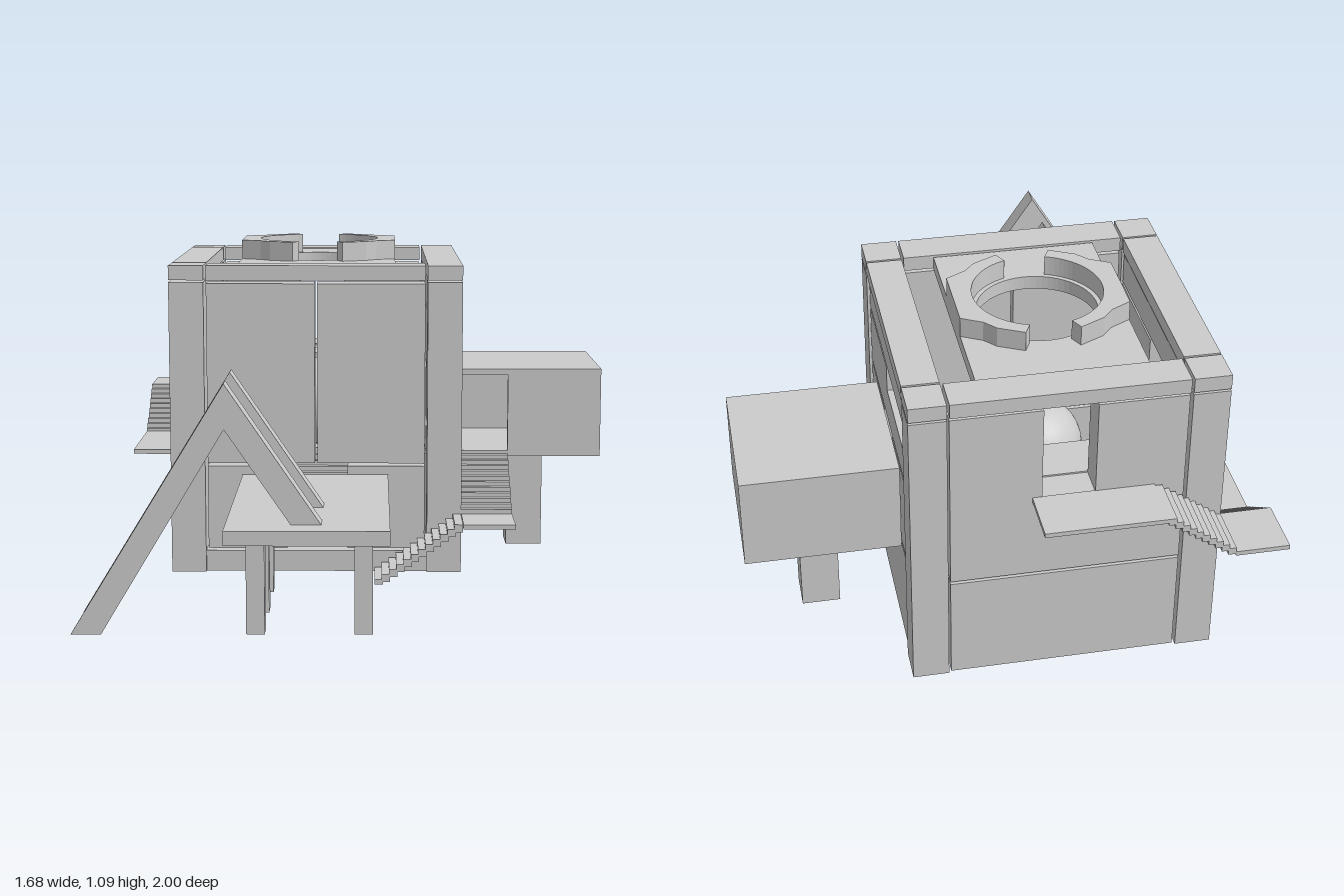
import * as THREE from 'three';

const CX = -0.135, CZ = -0.345; // centre of the house

export function createModel() {
  const root = new THREE.Group();
  const mat = new THREE.MeshStandardMaterial({ color: 0xcccccc, flatShading: true });
  const smooth = new THREE.MeshStandardMaterial({ color: 0xcccccc });

  function add(name, geo, parent = root, m = mat) {
    const mesh = new THREE.Mesh(geo, m);
    mesh.name = name;
    parent.add(mesh);
    return mesh;
  }
  // Box given by its limits on each axis
  function box(name, x0, x1, y0, y1, z0, z1, parent = root) {
    const mesh = add(name, new THREE.BoxGeometry(x1 - x0, y1 - y0, z1 - z0), parent);
    mesh.position.set((x0 + x1) / 2, (y0 + y1) / 2, (z0 + z1) / 2);
    return mesh;
  }
  function group(name) {
    const g = new THREE.Group();
    g.name = name;
    root.add(g);
    return g;
  }
  // Flight of thin steps along one axis from a to b, rising y0 to y1; c0..c1 is its width
  function flight(name, axis, a, b, y0, y1, c0, c1, n = 10) {
    const g = group(name), run = (b - a) / n, rise = (y1 - y0) / n;
    for (let i = 0; i < n; i++) {
      const p = a + run * i, q = p + run * 1.15;
      const lo = Math.min(p, q), hi = Math.max(p, q), top = y0 + rise * (i + 1);
      const bottom = Math.max(0, top - rise * 1.5);
      if (axis === 'x') box('step', lo, hi, bottom, top, c0, c1, g);
      else box('step', c0, c1, bottom, top, lo, hi, g);
    }
  }

  // Corner pillars and the roof's corner blocks
  for (const [x0, x1] of [[-0.62, -0.505], [0.235, 0.35]]) {
    for (const [z0, z1] of [[-0.83, -0.715], [0.025, 0.14]]) {
      box('cornerPillar', x0, x1, 0, 0.975, z0, z1);
      box('roofCorner', x0, x1, 0.982, 1.03, z0, z1);
    }
  }
  // Roof edge beams
  for (const [z0, z1] of [[-0.83, -0.715], [0.025, 0.14]]) box('roofBeam', -0.497, 0.227, 0.982, 1.03, z0, z1);
  for (const [x0, x1] of [[-0.62, -0.505], [0.235, 0.35]]) box('roofBeam', x0, x1, 0.982, 1.03, -0.707, 0.017);

  // Front wall: base, two lower panels beside the doorway, two tall upper panels
  const front = group('frontWall');
  const FZ = [0.03, 0.132];
  box('base', -0.505, 0.235, 0, 0.07, 0.03, 0.126, front);
  box('lowerPanel', -0.497, -0.233, 0.08, 0.36, ...FZ, front);
  box('lowerPanel', -0.03, 0.227, 0.08, 0.36, ...FZ, front);
  box('upperPanel', -0.497, -0.139, 0.37, 0.97, ...FZ, front);
  box('upperPanel', -0.131, 0.227, 0.37, 0.97, ...FZ, front);

  // Back wall with a tall doorway in its upper half
  const back = group('backWall');
  const BZ = [-0.822, -0.72];
  box('lowerPanel', -0.497, 0.227, 0, 0.355, ...BZ, back);
  box('middlePanel', -0.497, 0.227, 0.365, 0.65, ...BZ, back);
  box('upperPanel', -0.497, -0.22, 0.65, 0.97, ...BZ, back);
  box('upperPanel', -0.055, 0.227, 0.65, 0.97, ...BZ, back);

  // Side walls: lower panel, doorway, stepped band under a long window, lintel
  for (const [name, x0, x1] of [['rightWall', -0.612, -0.51], ['leftWall', 0.24, 0.342]]) {
    const g = group(name);
    box('lowerPanel', x0, x1, 0, 0.35, -0.707, 0.017, g);
    box('middlePanel', x0, x1, 0.36, 0.65, -0.707, -0.425, g);
    box('middlePanel', x0, x1, 0.36, 0.65, -0.26, 0.017, g);
    box('windowBand', x0, x1, 0.66, 0.77, -0.707, 0.017, g);
    box('windowStep', x0, x1, 0.77, 0.857, -0.34, 0.017, g);
    box('lintel', x0, x1, 0.867, 0.97, -0.707, 0.017, g);
  }

  // Roof slab with a round opening, leaving a light well on each side
  const slab = new THREE.Shape();
  slab.moveTo(-0.265, -0.365).lineTo(0.265, -0.365).lineTo(0.265, 0.365).lineTo(-0.265, 0.365).closePath();
  slab.holes.push(new THREE.Path().absarc(0, 0, 0.19, 0, Math.PI * 2, true));
  const slabGeo = new THREE.ExtrudeGeometry(slab, { depth: 0.045, bevelEnabled: false, curveSegments: 32 });
  slabGeo.rotateX(-Math.PI / 2);
  add('roofSlab', slabGeo).position.set(CX, 0.98, CZ);

  // Raised collar: two faceted halves round the opening
  const half = new THREE.Shape();
  half.moveTo(0.085, 0.235).lineTo(0.165, 0.195).lineTo(0.2, 0.155).lineTo(0.265, 0.12)
    .lineTo(0.265, -0.12).lineTo(0.2, -0.155).lineTo(0.165, -0.195).lineTo(0.085, -0.235).lineTo(0.065, -0.194);
  const a = Math.atan2(0.194, 0.065);
  half.absarc(0, 0, 0.205, -a, a, false);
  half.closePath();
  const halfGeo = new THREE.ExtrudeGeometry(half, { depth: 0.065, bevelEnabled: false, curveSegments: 16 });
  halfGeo.rotateX(-Math.PI / 2);
  for (const turn of [0, Math.PI]) {
    const m = add('roofCollar', halfGeo);
    m.position.set(CX, 1.025, CZ);
    m.rotation.y = turn;
  }

  // Interior: bridge, sphere, side galleries with flights to the back gallery
  box('bridge', -0.51, 0.24, 0.335, 0.355, -0.445, -0.245);
  add('sphere', new THREE.SphereGeometry(0.155, 40, 28), root, smooth).position.set(CX, 0.51, CZ);
  box('backGallery', -0.505, 0.235, 0.635, 0.655, -0.72, -0.56);
  for (const [x0, x1] of [[-0.505, -0.4], [0.13, 0.235]]) {
    box('frontGallery', x0, x1, 0.48, 0.5, -0.22, 0.03);
    flight('galleryStairs', 'z', -0.22, -0.44, 0.5, 0.655, x0, x1);
    box('sideGallery', x0, x1, 0.635, 0.655, -0.56, -0.44);
  }
  flight('entranceStairs', 'z', 0.03, -0.13, 0.24, 0.355, -0.23, -0.03, 7);

  // Left annex: hollow room with a doorway at the top of the outer stairs, on one post
  const annex = group('annex');
  box('floor', 0.345, 0.84, 0.35, 0.37, -0.6, -0.115, annex);
  box('roof', 0.345, 0.84, 0.635, 0.655, -0.6, -0.115, annex);
  box('outerWall', 0.82, 0.84, 0.37, 0.635, -0.6, -0.115, annex);
  box('backWall', 0.345, 0.82, 0.37, 0.635, -0.6, -0.58, annex);
  box('frontWall', 0.52, 0.82, 0.37, 0.635, -0.135, -0.115, annex);
  box('post', 0.53, 0.655, 0, 0.35, -0.41, -0.285, annex);

  // Stairs wrapping the front left corner
  flight('frontStairs', 'x', 0.06, 0.345, 0, 0.2, 0.14, 0.31, 12);
  box('frontLanding', 0.35, 0.52, 0.185, 0.2, 0.13, 0.31);
  flight('annexStairs', 'z', 0.14, -0.105, 0.2, 0.36, 0.35, 0.52, 11);

  // Stairs wrapping the back right corner
  box('sideLanding', -0.79, -0.62, 0.335, 0.35, -0.62, -0.23);
  flight('sideStairs', 'z', -0.62, -0.83, 0.345, 0.5, -0.79, -0.62);
  box('cornerLanding', -0.79, -0.62, 0.485, 0.5, -1, -0.83);
  flight('backStairs', 'x', -0.62, -0.405, 0.5, 0.655, -1, -0.83);
  box('backLanding', -0.405, -0.025, 0.64, 0.655, -1, -0.82);

  // Front deck on six legs
  box('deck', -0.38, 0.105, 0.288, 0.332, 0.135, 1);
  for (const x of [-0.32, 0]) {
    for (const z of [0.355, 0.605, 0.85]) box('deckLeg', x, x + 0.055, 0, 0.29, z, z + 0.06);
  }

  // Two leaning frames: the long leg stands on the ground, the short one on the deck
  const frame = new THREE.Shape();
  frame.moveTo(-0.84, 0).lineTo(-0.75, 0).lineTo(-0.38, 0.615).lineTo(-0.165, 0.3)
    .lineTo(-0.075, 0.3).lineTo(-0.38, 0.75).closePath();
  const frameGeo = new THREE.ExtrudeGeometry(frame, { depth: 0.07, bevelEnabled: false });
  for (const z of [0.6, 0.845]) add('leaningFrame', frameGeo).position.z = z;

  return root;
}
